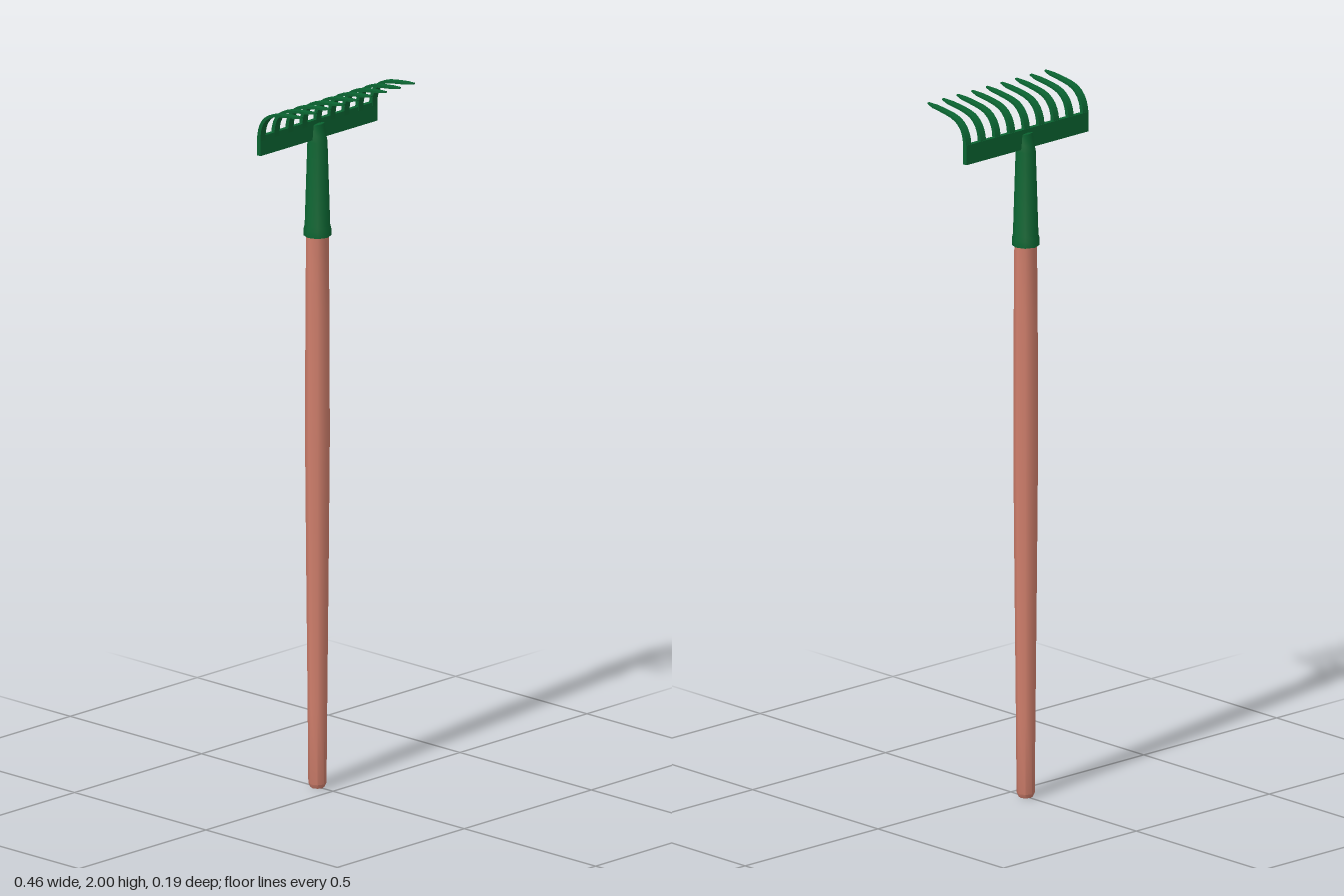
import * as THREE from 'three';
import { mergeVertices, toCreasedNormals } from 'three/addons/utils/BufferGeometryUtils.js';

const AXIS_Z = -0.059; // depth of the handle axis

// Smooth normals, sharp at edges above the given angle
function creased(geometry, angle) {
  geometry.deleteAttribute('uv');
  geometry.deleteAttribute('normal');
  return toCreasedNormals(mergeVertices(geometry, 1e-5), angle);
}

// Eight-sided turned part from [radius, height] pairs
function turned(profile) {
  return new THREE.LatheGeometry(profile.map(([r, y]) => new THREE.Vector2(r, y)), 8);
}

// Curved tine: a box bent along a path, thinning and pointed at the tip
function tineGeometry() {
  const path = new THREE.CatmullRomCurve3([
    [1.9, -0.06], [1.93, -0.057], [1.956, -0.046], [1.977, -0.022],
    [1.988, 0.02], [1.994, 0.068], [1.998, 0.096],
  ].map(([y, z]) => new THREE.Vector3(0, y, z)));
  const geometry = new THREE.BoxGeometry(1, 1, 1, 1, 1, 12);
  const pos = geometry.attributes.position;
  const side = new THREE.Vector3(1, 0, 0);
  for (let i = 0; i < pos.count; i++) {
    const t = THREE.MathUtils.clamp(pos.getZ(i) + 0.5, 0, 1);
    const normal = path.getTangent(t).cross(side).normalize();
    const taper = Math.max(0, (t - 5 / 6) * 6);
    const width = THREE.MathUtils.lerp(0.02, 0.007, taper);
    const thickness = THREE.MathUtils.lerp(0.013, 0.004, t);
    const p = path.getPoint(t).addScaledVector(normal, pos.getY(i) * thickness);
    pos.setXYZ(i, pos.getX(i) * width, p.y, p.z);
  }
  return creased(geometry, 0.7);
}

export function createModel() {
  const wood = new THREE.MeshStandardMaterial({ color: 0xd07f6c });
  wood.name = 'salmon wood';
  const metal = new THREE.MeshStandardMaterial({ color: 0x0a6431 });
  metal.name = 'green metal';

  const model = new THREE.Group();
  model.name = 'gardenRake';
  const add = (name, geometry, material, x, y, z) => {
    const mesh = new THREE.Mesh(geometry, material);
    mesh.name = name;
    mesh.position.set(x, y, z);
    model.add(mesh);
  };

  // Wooden handle, slightly swollen in the middle
  const handle = turned([
    [0, 0], [0.019, 0], [0.025, 0.012], [0.027, 0.25], [0.031, 0.65],
    [0.034, 1.0], [0.033, 1.35], [0.031, 1.6],
  ]);
  add('handle', creased(handle, 0.85), wood, 0, 0, AXIS_Z);

  // Metal socket, pinched flat at the top where it meets the bar
  const socket = turned([
    [0, 1.58], [0.038, 1.58], [0.038, 1.6], [0.035, 1.612],
    [0.028, 1.85], [0.026, 1.87], [0.024, 1.9], [0, 1.905],
  ]);
  const pos = socket.attributes.position;
  for (let i = 0; i < pos.count; i++) {
    const pinch = THREE.MathUtils.smoothstep(pos.getY(i), 1.84, 1.9);
    pos.setZ(i, pos.getZ(i) * (1 - 0.4 * pinch));
  }
  add('socket', creased(socket, 0.85), metal, 0, 0, AXIS_Z);

  // Flat crossbar
  add('crossbar', new THREE.BoxGeometry(0.46, 0.056, 0.013), metal, 0, 1.886, -0.06);

  // Nine tines
  const tine = tineGeometry();
  for (let i = -4; i <= 4; i++) add('tine', tine, metal, i * 0.055, 0, 0);

  return model;
}
